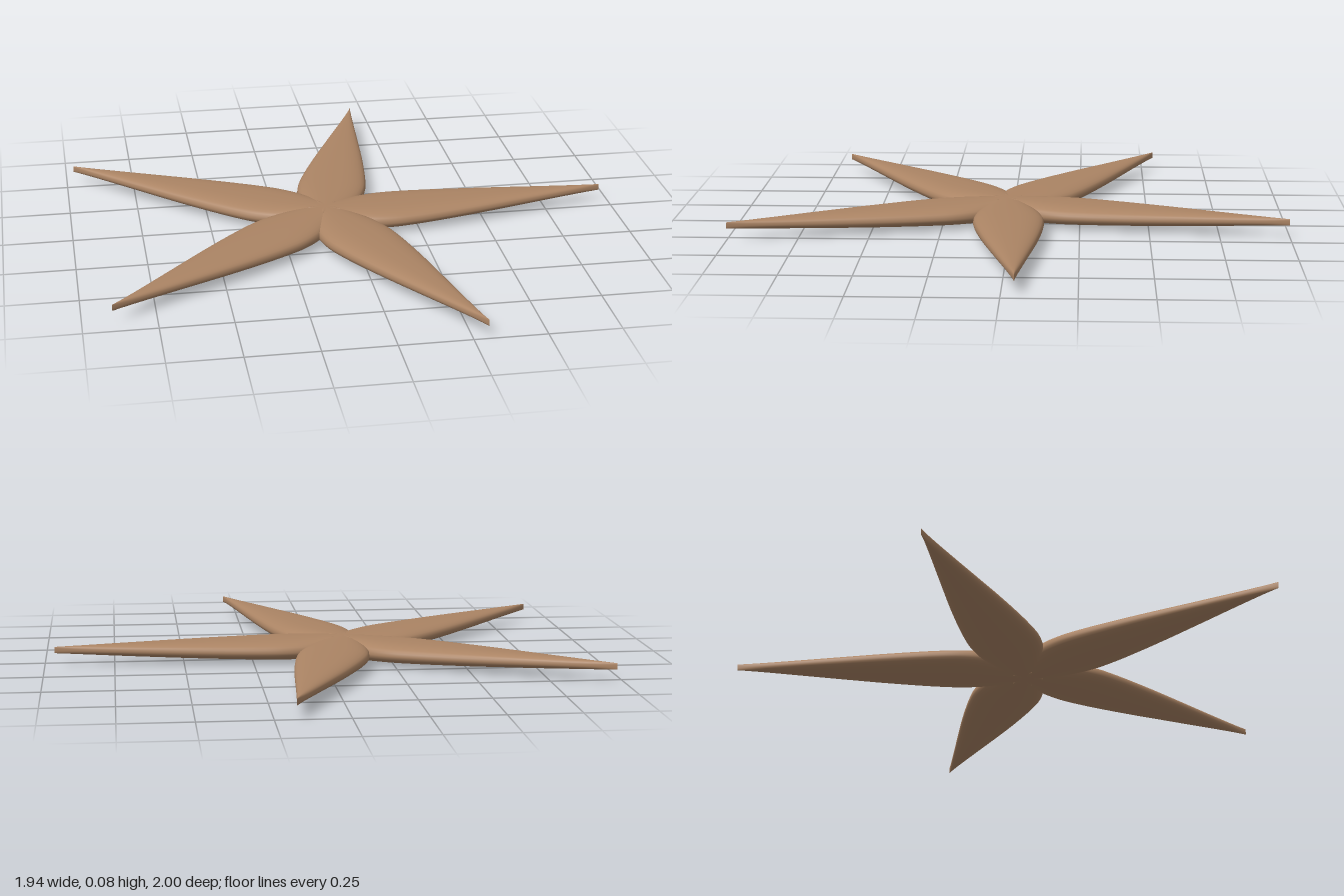
import * as THREE from 'three';

const LENGTH = 1.052;
const ARMS = 5;
const RINGS = 48;
const SIDES = 32;

// Half-width of an arm (y) against the distance from the centre (x)
const outline = new THREE.CatmullRomCurve3([
  [-0.06, 0], [0, 0.065], [0.08, 0.093], [0.16, 0.117], [0.24, 0.127], [0.32, 0.123],
  [0.42, 0.111], [0.55, 0.091], [0.7, 0.064], [0.88, 0.031], [LENGTH, 0],
].map(([r, w]) => new THREE.Vector3(r, w, 0)));

// Signed power that turns a circle into a fuller, flatter oval
const soften = (v, n) => Math.sign(v) * Math.abs(v) ** (2 / n);

// One leaf-shaped arm along +x, lofted through oval cross-sections
function armGeometry() {
  const positions = [];
  const indices = [];
  for (let i = 0; i <= RINGS; i++) {
    const { x: r, y: w } = outline.getPoint(i / RINGS);
    const s = Math.max(0, r / LENGTH);
    const top = 0.081 - 0.013 * s * s;
    const bottom = 0.045 * s ** 1.6;
    const mid = (top + bottom) / 2;
    const half = (top - bottom) / 2;
    for (let j = 0; j < SIDES; j++) {
      const a = (j / SIDES) * Math.PI * 2;
      const n = Math.sin(a) > 0 ? 2.6 : 2.2;
      positions.push(r, mid + half * soften(Math.sin(a), n), Math.max(0, w) * soften(Math.cos(a), n));
      if (i === RINGS) continue;
      const k = (j + 1) % SIDES;
      const p = i * SIDES;
      const q = p + SIDES;
      indices.push(p + j, q + j, p + k, q + j, q + k, p + k);
    }
  }
  const geometry = new THREE.BufferGeometry();
  geometry.setAttribute('position', new THREE.Float32BufferAttribute(positions, 3));
  geometry.setIndex(indices);
  geometry.computeVertexNormals();
  return geometry;
}

export function createModel() {
  const starfish = new THREE.Group();
  starfish.name = 'starfish';
  const material = new THREE.MeshStandardMaterial({ color: 0xab8464 });
  const geometry = armGeometry();

  // Five equal arms that merge in the middle
  for (let i = 0; i < ARMS; i++) {
    const arm = new THREE.Mesh(geometry, material);
    arm.name = `arm${i + 1}`;
    arm.position.set(-0.086, 0, 0.02);
    arm.rotation.y = THREE.MathUtils.degToRad(3.5 - (i * 360) / ARMS);
    starfish.add(arm);
  }
  return starfish;
}
